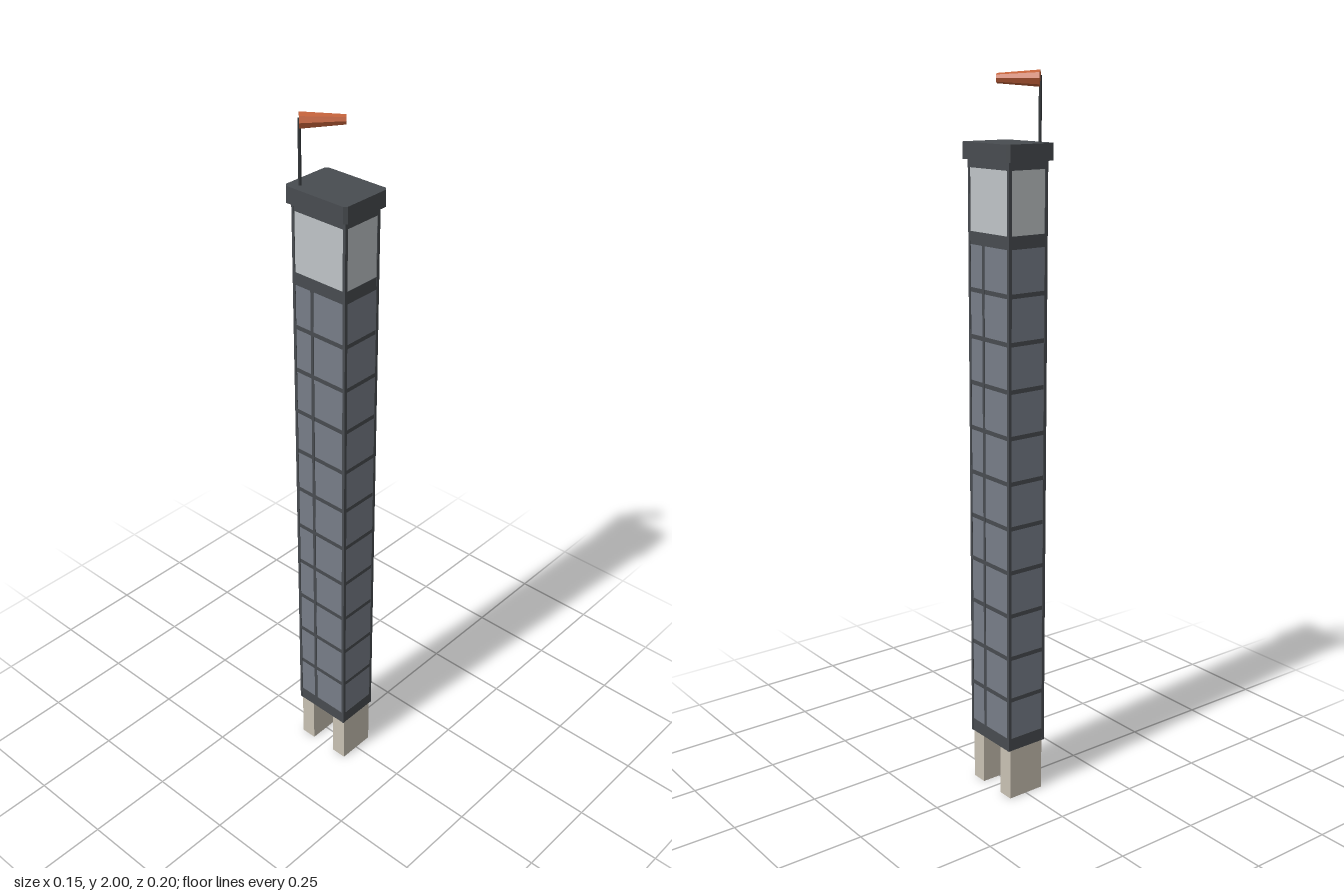
import * as THREE from 'three';

const paint = (name, color) => {
  const m = new THREE.MeshStandardMaterial({ color });
  m.name = name;
  return m;
};

export function createModel() {
  const model = new THREE.Group();
  model.name = 'tower';
  const frame = paint('dark frame grey', 0x484c50);
  const cladding = paint('slate panel', 0x777d88);
  const sign = paint('pale panel', 0xbfc4c7);
  const concrete = paint('concrete', 0xc9c1b3);
  const poleGrey = paint('pole grey', 0x34383b);
  const orange = paint('windsock orange', 0xc4623a);

  const add = (name, geometry, material, x = 0, y = 0, z = 0) => {
    const mesh = new THREE.Mesh(geometry, material);
    mesh.name = name;
    mesh.position.set(x, y, z);
    model.add(mesh);
    return mesh;
  };
  // Box spanning heights y0 to y1
  const block = (name, material, w, d, y0, y1, x = 0, z = 0) =>
    add(name, new THREE.BoxGeometry(w, y1 - y0, d), material, x, (y0 + y1) / 2, z);

  // Upright prism with cut corners
  const cutPrism = (name, material, hx, hz, c, y0, y1) => {
    const s = new THREE.Shape([
      [hx - c, -hz], [hx, c - hz], [hx, hz - c], [hx - c, hz],
      [c - hx, hz], [-hx, hz - c], [-hx, c - hz], [c - hx, -hz],
    ].map(([x, y]) => new THREE.Vector2(x, y)));
    const g = new THREE.ExtrudeGeometry(s, { depth: y1 - y0, bevelEnabled: false });
    g.rotateX(-Math.PI / 2);
    return add(name, g, material, 0, y0, 0);
  };

  const HX = 0.063, HZ = 0.088;

  // Two concrete feet
  for (const s of [1, -1]) block('foot', concrete, 0.112, 0.046, 0, 0.152, 0, s * 0.0625);

  // Recessed cladding and the pale head section
  block('cladding', cladding, 0.122, 0.172, 0.16, 1.575);
  block('headPanel', sign, 0.122, 0.172, 1.575, 1.77);

  // Corner posts
  for (const sx of [1, -1]) for (const sz of [1, -1]) {
    block('cornerPost', frame, 0.009, 0.008, 0.15, 1.78, sx * (HX - 0.0045), sz * (HZ - 0.004));
  }

  // Solid bands
  for (const [y0, y1] of [[0.15, 0.187], [1.557, 1.591], [1.755, 1.782]]) {
    block('band', frame, HX * 2 - 0.001, HZ * 2 - 0.001, y0, y1);
  }

  // Horizontal ribs at even spacing
  for (let i = 0; i < 10; i++) {
    const y = 0.305 + i * 0.1258;
    block('rib', frame, HX * 2 - 0.002, HZ * 2 - 0.002, y - 0.006, y + 0.006);
  }

  // Off-centre vertical strip on each long side
  for (const s of [1, -1]) block('sideStrip', frame, 0.004, 0.009, 0.18, 1.56, s * 0.0605, s * 0.024);

  // Roof cap
  cutPrism('roofCap', frame, 0.076, 0.1, 0.008, 1.776, 1.82);

  // Pole and windsock
  add('pole', new THREE.CylinderGeometry(0.004, 0.004, 0.17, 8), poleGrey, -0.05, 1.9, -0.07);
  const from = new THREE.Vector3(-0.046, 1.978, -0.074);
  const to = new THREE.Vector3(0.032, 1.978, 0.004);
  const along = to.clone().sub(from);
  const sockGeometry = new THREE.CylinderGeometry(0.0125, 0.021, along.length(), 8).toNonIndexed();
  sockGeometry.computeVertexNormals();
  const sock = add('windsock', sockGeometry, orange);
  sock.position.copy(from).add(to).multiplyScalar(0.5);
  sock.quaternion.setFromUnitVectors(new THREE.Vector3(0, 1, 0), along.normalize());

  return model;
}
